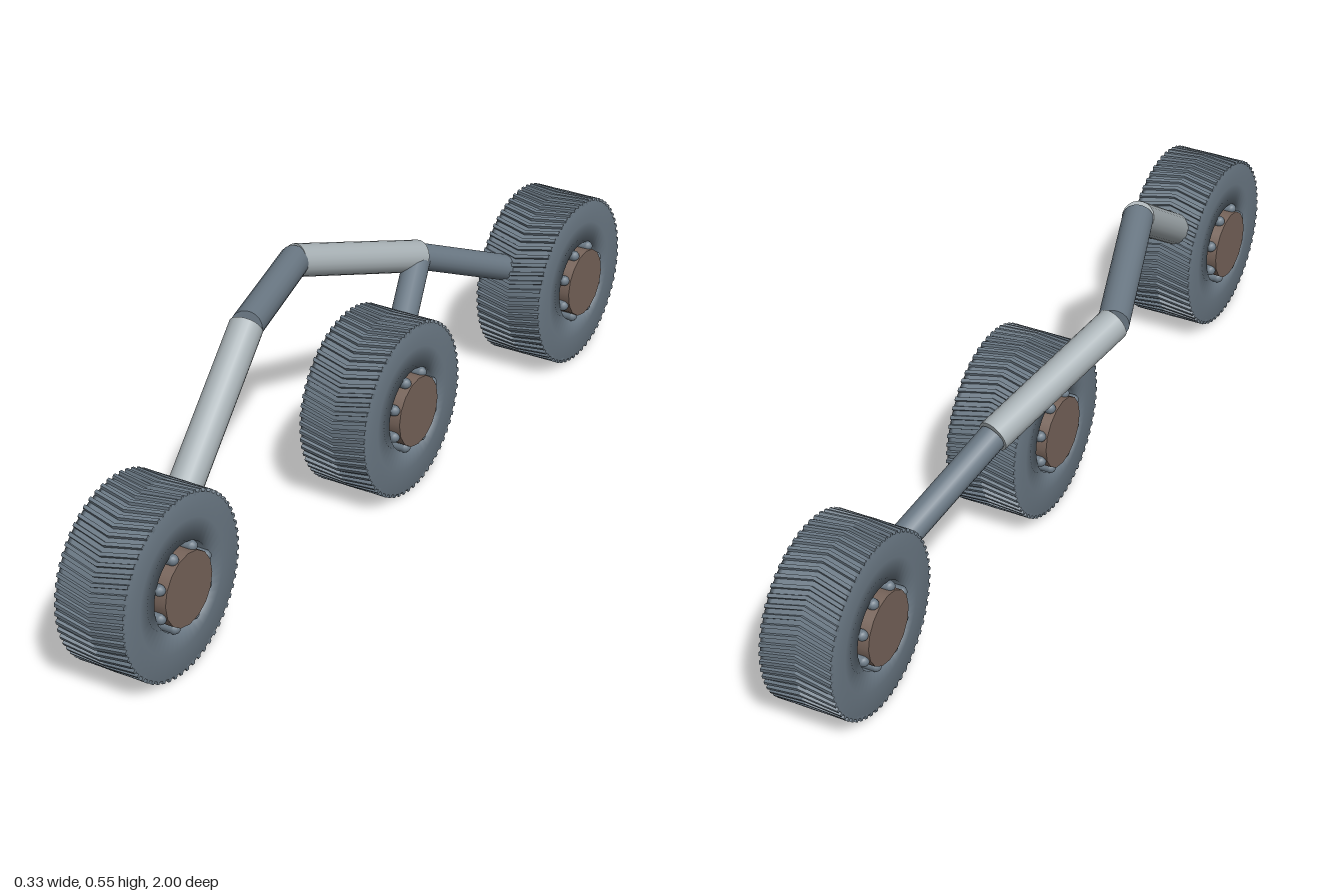
import * as THREE from 'three';
import { mergeGeometries } from 'three/addons/utils/BufferGeometryUtils.js';

const rubber = new THREE.MeshStandardMaterial({ color: 0x6c7a86 });
rubber.name = 'slate grey';
const lightMetal = new THREE.MeshStandardMaterial({ color: 0xa9b2b6 });
lightMetal.name = 'light metal';
const brown = new THREE.MeshStandardMaterial({ color: 0x78655b });
brown.name = 'hub brown';

const R = 0.196, HALF = 0.08, RIBS = 60;

function part(name, geometry, material) {
  const mesh = new THREE.Mesh(geometry, material);
  mesh.name = name;
  return mesh;
}

// Ring-shaped tyre body with an open centre, turned round the x axis
function tyreGeometry() {
  const profile = [
    [0.093, 0], [0.093, -HALF], [0.14, -HALF], [0.19, -HALF], [0.19, -0.07],
    [0.19, 0.07], [0.19, HALF], [0.14, HALF], [0.093, HALF], [0.093, 0],
  ].map(([r, y]) => new THREE.Vector2(r, y));
  return new THREE.LatheGeometry(profile, 48).rotateZ(-Math.PI / 2);
}

// Chevron ribs: boxes bent to a V, tapered to the crest, repeated round the tyre
function treadGeometry() {
  const rib = new THREE.BoxGeometry(HALF * 2, 0.012, 0.012, 2, 1, 1).toNonIndexed();
  const p = rib.attributes.position;
  for (let i = 0; i < p.count; i++) {
    const taper = p.getY(i) > 0 ? 0.65 : 1;
    const bend = Math.abs(p.getX(i)) / HALF;
    p.setZ(i, p.getZ(i) * taper + 0.009 - 0.018 * bend);
  }
  rib.computeVertexNormals();
  rib.translate(0, R - 0.006, 0);
  const ribs = [];
  for (let i = 0; i < RIBS; i++) ribs.push(rib.clone().rotateX((i / RIBS) * Math.PI * 2));
  return mergeGeometries(ribs);
}

// Rounded bars in the gap between hub and tyre
function lugGeometry() {
  const lugs = [];
  for (let i = 0; i < 8; i++) {
    const a = (i + 0.5) * Math.PI / 4;
    lugs.push(new THREE.CapsuleGeometry(0.012, 0.164, 4, 10)
      .rotateZ(Math.PI / 2)
      .translate(0, 0.083 * Math.sin(a), 0.083 * Math.cos(a)));
  }
  return mergeGeometries(lugs);
}

const tyre = tyreGeometry(), tread = treadGeometry(), lugs = lugGeometry();
const hub = new THREE.CylinderGeometry(0.079, 0.079, 0.192, 16).rotateZ(Math.PI / 2);

function wheel(name, z) {
  const g = new THREE.Group();
  g.name = name;
  g.add(part('tyre', tyre, rubber), part('tread', tread, rubber),
    part('hubLugs', lugs, rubber), part('hub', hub, brown));
  g.position.set(0.07, R, z);
  return g;
}

// Straight tube between two points
function strut(name, from, to, radius, material) {
  const a = new THREE.Vector3(...from), b = new THREE.Vector3(...to);
  const dir = b.clone().sub(a);
  const mesh = part(name, new THREE.CylinderGeometry(radius, radius, dir.length(), 20), material);
  mesh.position.copy(a).add(b).multiplyScalar(0.5);
  mesh.quaternion.setFromUnitVectors(new THREE.Vector3(0, 1, 0), dir.normalize());
  return mesh;
}

export function createModel() {
  const model = new THREE.Group();
  model.name = 'rockerSuspension';

  model.add(wheel('frontWheel', 0.804), wheel('middleWheel', -0.055), wheel('rearWheel', -0.804));

  // Jointed suspension arm
  const knee = [-0.01, 0.515, 0.335], pivot = [-0.13, 0.487, -0.03], fork = [-0.03, 0.385, -0.375];
  model.add(
    strut('frontLeg', knee, [0.05, 0.295, 0.66], 0.036, lightMetal),
    strut('frontArm', knee, pivot, 0.034, rubber),
    strut('rearArm', pivot, fork, 0.036, lightMetal),
    strut('rearLeg', fork, [0.045, 0.265, -0.65], 0.03, rubber),
    strut('middleLeg', fork, [0.035, 0.28, -0.19], 0.03, rubber),
  );
  return model;
}
